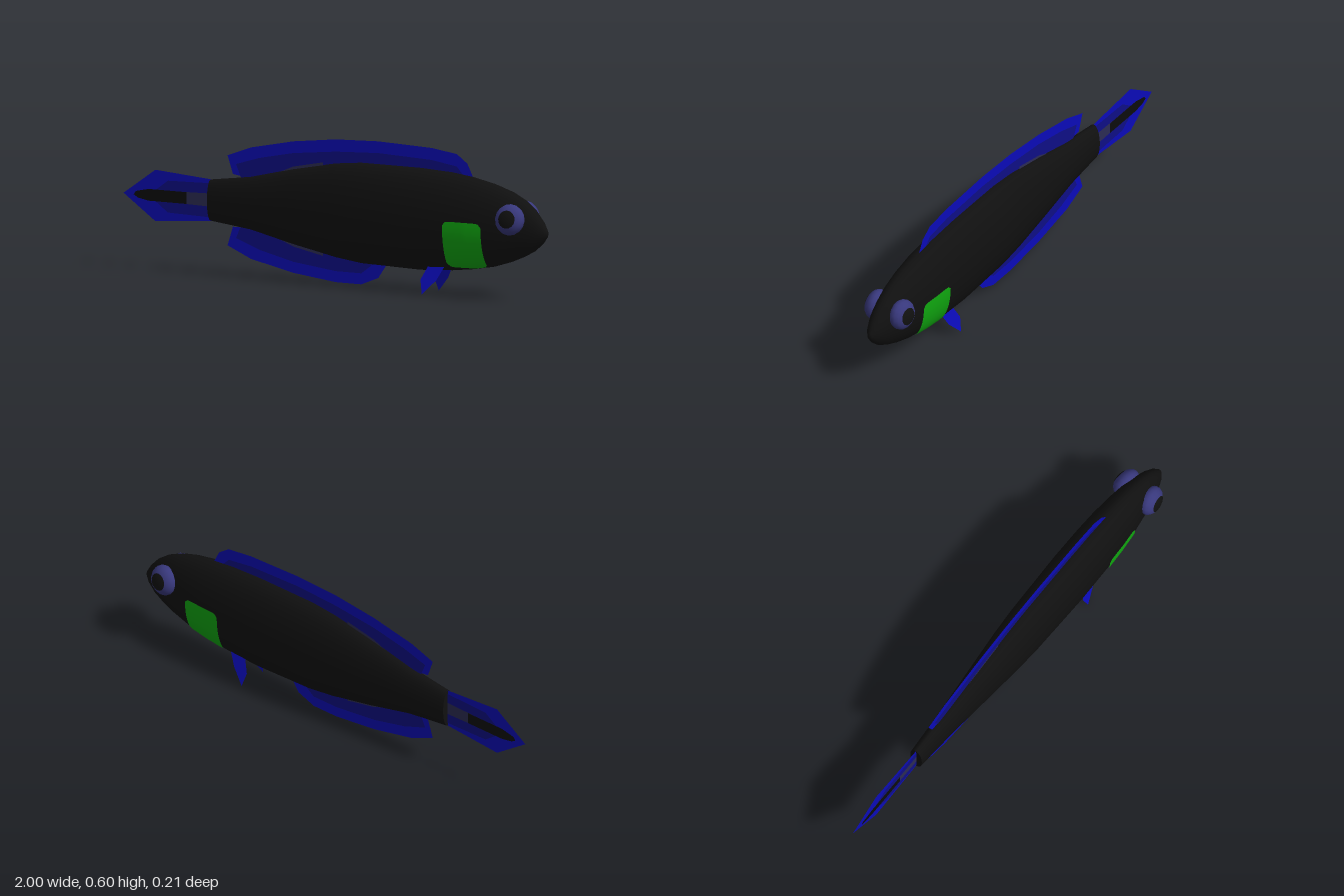
import * as THREE from 'three';

const mat = (name, color, side = THREE.FrontSide) => {
  const m = new THREE.MeshStandardMaterial({ color, side });
  m.name = name;
  return m;
};

// Body stations: x, top, bottom, half width
const STATIONS = [
  [-0.59, 0.385, 0.217, 0.03], [-0.4, 0.41, 0.195, 0.042], [-0.2, 0.457, 0.15, 0.058],
  [0, 0.495, 0.112, 0.075], [0.12, 0.507, 0.097, 0.082], [0.4, 0.507, 0.091, 0.09],
  [0.55, 0.5, 0.1, 0.089], [0.65, 0.488, 0.112, 0.086], [0.75, 0.468, 0.13, 0.078],
  [0.83, 0.443, 0.155, 0.067], [0.89, 0.413, 0.18, 0.055], [0.94, 0.374, 0.207, 0.042],
  [0.975, 0.332, 0.238, 0.027], [0.995, 0.298, 0.265, 0.011],
];

// Centre height, half height and half width of the body at x
function sectionAt(x) {
  let i = 0;
  while (i < STATIONS.length - 2 && x > STATIONS[i + 1][0]) i++;
  const a = STATIONS[i], b = STATIONS[i + 1], t = (x - a[0]) / (b[0] - a[0]);
  const [top, bottom, w] = [1, 2, 3].map((k) => a[k] + (b[k] - a[k]) * t);
  return { c: (top + bottom) / 2, h: (top - bottom) / 2, w };
}

function indexed(pos, idx) {
  const g = new THREE.BufferGeometry();
  g.setAttribute('position', new THREE.Float32BufferAttribute(pos, 3));
  g.setIndex(idx);
  g.computeVertexNormals();
  return g;
}

function bodyGeometry(sides = 20) {
  const pos = [], idx = [];
  for (const [x] of STATIONS) {
    const { c, h, w } = sectionAt(x);
    for (let j = 0; j < sides; j++) {
      const a = (j / sides) * Math.PI * 2;
      pos.push(x, c + h * Math.sin(a), w * Math.cos(a));
    }
  }
  const tip = STATIONS.length * sides;
  pos.push(1, 0.28, 0);
  for (let i = 0; i < STATIONS.length; i++) {
    for (let j = 0; j < sides; j++) {
      const k = (j + 1) % sides, a = i * sides + j, b = i * sides + k;
      if (i === STATIONS.length - 1) idx.push(a, tip, b);
      else idx.push(a, a + sides, b, b, a + sides, b + sides);
    }
  }
  return indexed(pos, idx);
}

// Rounded patch hugging the flank, s = side
function patchGeometry(s) {
  const pos = [], idx = [], nx = 14, ny = 12;
  for (let i = 0; i <= nx; i++) {
    const u = (i / nx) * 2 - 1, x = 0.643 + 0.088 * u;
    const { c, h, w } = sectionAt(x);
    const half = 0.095 * (0.82 + 0.18 * Math.pow(1 - Math.pow(Math.abs(u), 8), 0.5));
    const angle = (y) => Math.asin(Math.max(-0.97, (y - c) / h));
    const a0 = angle(0.217 - half), a1 = angle(0.217 + half);
    for (let j = 0; j <= ny; j++) {
      const a = a0 + (a1 - a0) * (j / ny);
      pos.push(x, c + (h + 0.003) * Math.sin(a), s * (w + 0.004) * Math.cos(a));
    }
  }
  for (let i = 0; i < nx; i++) {
    for (let j = 0; j < ny; j++) {
      const a = i * (ny + 1) + j, b = a + ny + 1;
      if (s > 0) idx.push(a, b, a + 1, a + 1, b, b + 1);
      else idx.push(a, a + 1, b, a + 1, b + 1, b);
    }
  }
  return indexed(pos, idx);
}

// Flat sheet in the mid plane
const flat = (pts, z = 0) =>
  new THREE.ShapeGeometry(new THREE.Shape(pts.map(([x, y]) => new THREE.Vector2(x, y)))).translate(0, 0, z);

export function createModel() {
  const model = new THREE.Group();
  model.name = 'fish';
  const black = mat('black', 0x101010);
  const green = mat('green', 0x10a810);
  const eyeBlue = mat('eyeBlue', 0x38387c);
  const finBlue = mat('finBlue', 0x0b0bb8, THREE.DoubleSide);
  const finDark = mat('finDark', 0x0e0e85, THREE.DoubleSide);
  const slate = mat('slate', 0x2c2c54, THREE.DoubleSide);
  const stripeBlack = mat('stripeBlack', 0x0c0c0c, THREE.DoubleSide);

  const add = (name, geo, material) => {
    const m = new THREE.Mesh(geo, material);
    m.name = name;
    model.add(m);
    return m;
  };

  // Body with a closed tail end
  add('body', bodyGeometry(), black);
  const end = sectionAt(-0.59);
  add('bodyEnd', new THREE.CircleGeometry(1, 20).rotateY(-Math.PI / 2)
    .scale(1, end.h, end.w).translate(-0.59, end.c, 0), black);

  // Long fins: bright rim, dark web reaching into the body
  const longFin = (name, outer, inner, root) => {
    add(name + 'Rim', flat([...outer, ...[...inner].reverse()]), finBlue);
    add(name + 'Web', flat([...inner, ...[...root].reverse()]), finDark);
  };
  longFin('dorsalFin',
    [[-0.485, 0.415], [-0.51, 0.49], [-0.4, 0.53], [-0.2, 0.57], [0, 0.593], [0.2, 0.6], [0.45, 0.592], [0.57, 0.576], [0.62, 0.54], [0.65, 0.48]],
    [[-0.45, 0.41], [-0.47, 0.457], [-0.36, 0.49], [-0.2, 0.522], [0, 0.543], [0.2, 0.552], [0.45, 0.543], [0.57, 0.525], [0.61, 0.48]],
    [[-0.44, 0.39], [-0.2, 0.44], [0.1, 0.48], [0.6, 0.47]]);
  longFin('analFin',
    [[-0.485, 0.2], [-0.51, 0.122], [-0.4, 0.075], [-0.2, 0.033], [0, 0.01], [0.12, 0.01], [0.2, 0.042], [0.24, 0.1]],
    [[-0.45, 0.2], [-0.47, 0.155], [-0.36, 0.115], [-0.2, 0.078], [0, 0.055], [0.12, 0.055], [0.18, 0.1]],
    [[-0.44, 0.22], [-0.2, 0.18], [0, 0.14], [0.17, 0.12]]);

  // Tail fin with dark web, base block and stripe on both faces
  add('tailFin', flat([[-0.58, 0.385], [-0.85, 0.405], [-1, 0.3], [-0.85, 0.195], [-0.58, 0.217]]), finBlue);
  for (const s of [1, -1]) {
    add('tailWeb', flat([[-0.58, 0.37], [-0.79, 0.365], [-0.88, 0.3], [-0.79, 0.235], [-0.58, 0.23]], s * 0.002), finDark);
    add('tailBase', flat([[-0.58, 0.328], [-0.72, 0.325], [-0.72, 0.277], [-0.58, 0.274]], s * 0.003), slate);
    add('tailStripe', flat([[-0.7, 0.325], [-0.88, 0.325], [-0.94, 0.312], [-0.95, 0.298],
      [-0.93, 0.286], [-0.88, 0.277], [-0.7, 0.277]], s * 0.004), stripeBlack);
    // Pale streaks at the roots of the long fins
    add('dorsalStreak', flat([[-0.3, 0.425], [-0.2, 0.467], [-0.06, 0.495], [-0.06, 0.47]], s * 0.002), slate);
    add('analStreak', flat([[-0.3, 0.18], [-0.2, 0.141], [-0.06, 0.113], [-0.06, 0.135]], s * 0.002), slate);
  }

  for (const s of [1, -1]) {
    const side = s > 0 ? 'left' : 'right';
    add(side + 'CheekPatch', patchGeometry(s), green);

    // Pelvic fin, splayed outward toward the tip
    const fin = indexed([
      0.53, 0.115, s * 0.033, 0.455, 0.115, s * 0.033,
      0.502, 0.062, s * 0.047, 0.43, 0.06, s * 0.052,
      0.445, 0.001, s * 0.067,
    ], [0, 1, 2, 1, 3, 2, 2, 3, 4]);
    add(side + 'PelvicFin', fin, finBlue);

    // Bulging eye with pupil
    const eye = new THREE.Group();
    eye.name = side + 'Eye';
    const cap = (name, r, theta, material) => {
      const g = new THREE.SphereGeometry(r, 16, 10, 0, Math.PI * 2, 0, theta).rotateX(s * Math.PI / 2);
      const m = new THREE.Mesh(g, material);
      m.name = name;
      eye.add(m);
    };
    cap('eyeball', 1, Math.PI, eyeBlue);
    cap('pupil', 1.02, 0.6, black);
    eye.scale.set(0.063, 0.064, 0.041);
    eye.rotation.set(-0.16 * s, 0.12 * s, 0);
    eye.position.set(0.858, 0.337, s * 0.064);
    model.add(eye);
  }
  return model;
}
